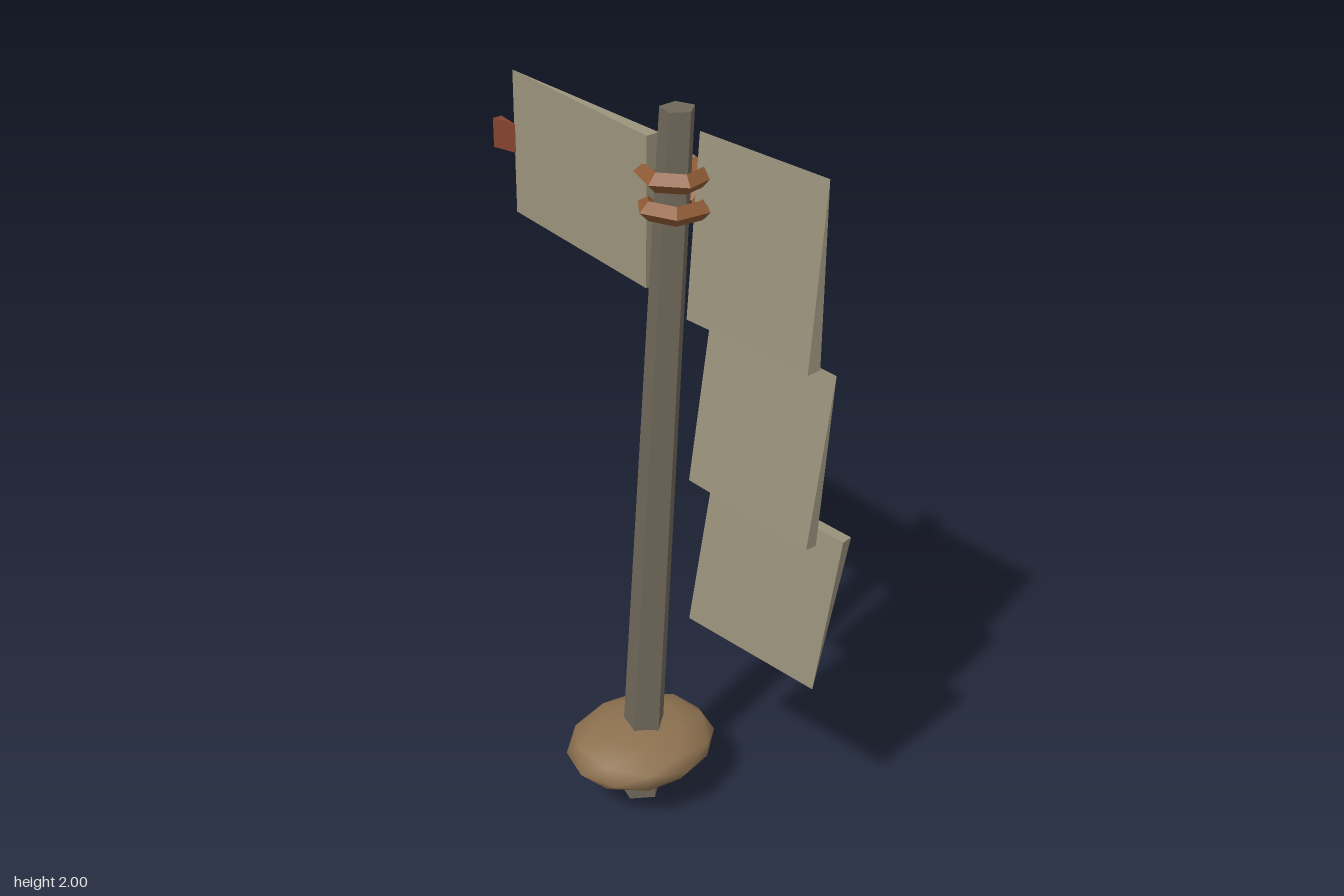
import * as THREE from 'three';
import { mergeVertices } from 'three/addons/utils/BufferGeometryUtils.js';
import { ConvexGeometry } from 'three/addons/geometries/ConvexGeometry.js';

const material = (name, color, flatShading = true) => {
  const m = new THREE.MeshStandardMaterial({ color, flatShading });
  m.name = name;
  return m;
};

export function createModel() {
  const group = new THREE.Group();
  const postWood = material('post wood', 0x70695a);
  const boardWood = material('board wood', 0x9c947d);
  const mound = material('earth brown', 0x8e7250, false);
  const rope = material('rope brown', 0x8f5b36);
  const red = material('rust red', 0x85432f);

  const add = (name, geometry, mat) => {
    const mesh = new THREE.Mesh(geometry, mat);
    mesh.name = name;
    group.add(mesh);
    return mesh;
  };
  // Six corners of a triangular prism
  const wedge = (name, mat, corners) =>
    add(name, new ConvexGeometry(corners.map((p) => new THREE.Vector3(...p))), mat);

  // Leaning five-sided post, sheared so its ends stay level
  const post = new THREE.CylinderGeometry(0.044, 0.06, 2, 5);
  post.translate(0, 1, 0);
  const p = post.attributes.position;
  for (let i = 0; i < p.count; i++) {
    const t = p.getY(i) / 2;
    p.setX(i, p.getX(i) + 0.077 * t);
    p.setZ(i, p.getZ(i) + 0.03 + 0.036 * t);
  }
  post.computeVertexNormals();
  add('post', post, postWood);

  // Rounded lump around the foot
  let lump = new THREE.IcosahedronGeometry(1, 1);
  lump.deleteAttribute('normal');
  lump.deleteAttribute('uv');
  lump = mergeVertices(lump);
  lump.scale(0.222, 0.074, 0.188);
  lump.computeVertexNormals();
  add('footMound', lump, mound).position.set(-0.002, 0.17, 0.033);

  // Two coarse rope rings near the top
  [[1.838, 0.14], [1.76, -0.17]].forEach(([y, turn], i) => {
    const ring = new THREE.TorusGeometry(0.074, 0.025, 4, 6);
    ring.rotateX(Math.PI / 2);
    ring.rotateY(turn);
    add(`ropeRing${i + 1}`, ring, rope).position.set(0.074, y, 0.062);
  });

  // Rear board, thick at the post and sharp at the far edge
  wedge('rearBoard', boardWood, [1.545, 1.932].flatMap((y) =>
    [[0.022, y, 0.02], [0.06, y, 0.02], [0.095, y, -0.565]]));

  // Red peg behind the rear board's end
  wedge('redPeg', red, [1.727, 1.805].flatMap((y) =>
    [[0.052, y, -0.598], [0.08, y, -0.598], [0.066, y, -0.525]]));

  // Front boards: each end is a sharp edge plus a two-corner thick edge
  wedge('upperFrontBoard', boardWood, [
    [0.116, 1.943, 0.1], [0.083, 1.47, 0.1], [0.12, 1.475, 0.1],
    [0.116, 1.943, 0.508], [0.083, 1.47, 0.503], [0.12, 1.475, 0.508]]);
  wedge('middleFrontBoard', boardWood, [
    [0.118, 1.495, 0.15], [0.08, 1.025, 0.122], [0.115, 1.03, 0.122],
    [0.13, 1.472, 0.55], [0.088, 1.002, 0.525], [0.12, 1.002, 0.527]]);
  wedge('lowerFrontBoard', boardWood, [
    [0.066, 0.615, 0.147], [0.09, 1.08, 0.2], [0.125, 1.075, 0.2],
    [0.125, 0.57, 0.54], [0.14, 1.035, 0.596], [0.175, 1.032, 0.59]]);

  return group;
}
